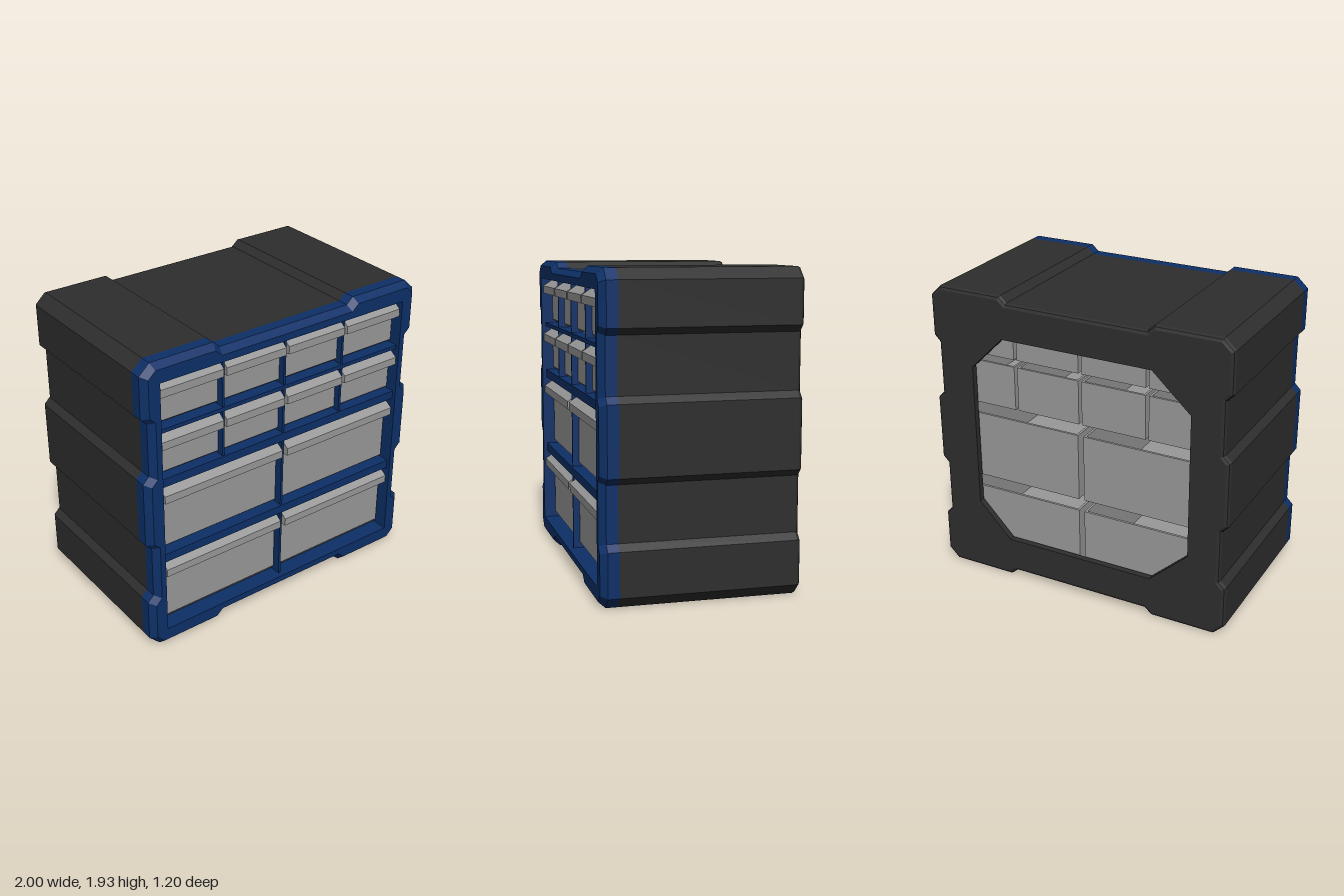
import * as THREE from 'three';

const mat = (name, color) => Object.assign(new THREE.MeshStandardMaterial({ color }), { name });

// Mirrors a right-hand half outline (running upwards) into a closed counter-clockwise loop
const mirrored = (half) => [...half, ...half.map(([x, y]) => [-x, y]).reverse()];
const rect = (x, y0, y1) => mirrored([[x, y0], [x, y1]]);

// Moves every edge of a counter-clockwise loop inwards by d
function inset(loop, d) {
  const n = loop.length;
  const normal = (a, b) => {
    const l = Math.hypot(b[0] - a[0], b[1] - a[1]);
    return [(b[1] - a[1]) / l, (a[0] - b[0]) / l];
  };
  return loop.map((p, i) => {
    const a = normal(loop[(i + n - 1) % n], p), b = normal(p, loop[(i + 1) % n]);
    const k = d / (1 + a[0] * b[0] + a[1] * b[1]);
    return [p[0] - (a[0] + b[0]) * k, p[1] - (a[1] + b[1]) * k];
  });
}

// Faceted wall through loops [points, z] ordered back to front
function wall(rings, inward = false) {
  const pos = [];
  for (let r = 0; r < rings.length - 1; r++) {
    const [A, za] = rings[r], [B, zb] = rings[r + 1];
    A.forEach((_, i) => {
      const j = (i + 1) % A.length;
      const a = [...A[i], za], b = [...A[j], za], c = [...B[j], zb], d = [...B[i], zb];
      pos.push(...(inward ? [a, c, b, a, d, c] : [a, b, c, a, c, d]).flat());
    });
  }
  const g = new THREE.BufferGeometry();
  g.setAttribute('position', new THREE.Float32BufferAttribute(pos, 3));
  g.computeVertexNormals();
  return g;
}

// Flat plate with a hole, facing the front or the back
function cap(loop, hole, z, back = false) {
  const vec = (l) => l.map(([x, y]) => new THREE.Vector2(back ? -x : x, y));
  const s = new THREE.Shape(vec(loop));
  s.holes.push(new THREE.Path(vec(hole)));
  const g = new THREE.ShapeGeometry(s);
  if (back) g.rotateY(Math.PI);
  return g.translate(0, 0, z);
}

export function createModel() {
  const model = new THREE.Group();
  model.name = 'drawerCabinet';
  const black = mat('blackPlastic', 0x2e2e2e);
  const blue = mat('bluePlastic', 0x0d3068);
  const grey = mat('greyPlastic', 0x999999);

  const add = (parent, name, geo, material) => {
    const m = new THREE.Mesh(geo, material);
    m.name = name;
    parent.add(m);
    return m;
  };
  const box = (parent, name, material, x0, x1, y0, y1, z0, z1) =>
    add(parent, name, new THREE.BoxGeometry(x1 - x0, y1 - y0, z1 - z0), material)
      .position.set((x0 + x1) / 2, (y0 + y1) / 2, (z0 + z1) / 2);

  // Notched silhouette shared by the case and the front frame
  const outline = mirrored([
    [0.465, 0.04], [0.51, 0], [0.93, 0], [1, 0.07], [1, 0.34], [0.96, 0.38], [0.96, 0.72],
    [1, 0.76], [1, 1.18], [0.96, 1.22], [0.96, 1.56], [1, 1.6], [1, 1.865], [0.93, 1.93],
    [0.51, 1.93], [0.465, 1.89],
  ]);
  const opening = rect(0.89, 0.115, 1.81);
  const cavity = rect(0.915, 0.09, 1.835);
  const backHole = [
    [0.5, 0.27], [0.72, 0.5], [0.72, 1.44], [0.5, 1.66],
    [-0.5, 1.66], [-0.75, 1.43], [-0.75, 0.5], [-0.5, 0.27],
  ];

  // Case: outer shell with a rounded back edge, and an open back panel
  const shell = new THREE.Group();
  shell.name = 'case';
  model.add(shell);
  const backEdge = inset(outline, 0.025);
  add(shell, 'outerShell', wall([
    [backEdge, -0.6], [inset(outline, 0.008), -0.592], [outline, -0.575], [outline, 0.49],
  ]), black);
  add(shell, 'backPanel', cap(backEdge, backHole, -0.6, true), black);
  add(shell, 'backPanelInside', cap(cavity, backHole, -0.56), black);
  add(shell, 'backOpeningRim', wall([[backHole, -0.6], [backHole, -0.56]], true), black);
  add(shell, 'innerWalls', wall([[cavity, -0.56], [cavity, 0.49]], true), black);

  // Front frame with a chamfered outer edge
  const frame = new THREE.Group();
  frame.name = 'frontFrame';
  model.add(frame);
  const frontEdge = inset(outline, 0.035);
  add(frame, 'frameRim', wall([[outline, 0.49], [outline, 0.56], [frontEdge, 0.6]]), blue);
  add(frame, 'frameFace', cap(frontEdge, opening, 0.6), blue);
  add(frame, 'frameBack', cap(outline, opening, 0.49, true), blue);
  add(frame, 'frameInside', wall([[opening, 0.49], [opening, 0.6]], true), blue);

  // Crossbars and dividers between the drawers
  for (const [y0, y1] of [[0.595, 0.65], [1.12, 1.175], [1.478, 1.503]])
    box(frame, 'crossbar', blue, -0.89, 0.89, y0, y1, 0.49, 0.575);
  box(frame, 'centreDivider', blue, -0.008, 0.008, 0.115, 1.81, 0.49, 0.565);
  for (const x of [-0.445, 0.445])
    box(frame, 'smallDivider', blue, x - 0.008, x + 0.008, 1.175, 1.81, 0.49, 0.565);

  // Drawer: open tray behind a front plate with an overhanging pull lip
  function drawer(name, x, y, w, h) {
    const g = new THREE.Group();
    g.name = name;
    g.position.set(x, y, 0);
    model.add(g);
    const s = w / 2, t = 0.015, back = -0.54, face = 0.525;
    const profile = new THREE.Shape([
      [face - 0.025, 0], [face - 0.012, 0], [face, 0.012], [face, h - 0.1], [0.588, h - 0.092],
      [0.588, h - 0.042], [face, h], [face - 0.025, h],
    ].map((p) => new THREE.Vector2(...p)));
    const front = new THREE.ExtrudeGeometry(profile, { depth: w, bevelEnabled: false });
    add(g, 'drawerFront', front.rotateY(-Math.PI / 2).translate(s, 0, 0), grey);
    box(g, 'drawerFloor', grey, -s, s, 0, t, back, face - 0.025);
    box(g, 'drawerBack', grey, -s, s, t, h, back, back + t);
    for (const side of [-1, 1]) {
      const c = side * (s - t / 2);
      box(g, 'drawerSide', grey, c - t / 2, c + t / 2, t, h, back + t, face - 0.025);
    }
  }

  // Two rows of large drawers below two rows of small ones
  for (const [y, h] of [[0.145, 0.44], [0.665, 0.44]])
    for (const x of [-0.446, 0.446]) drawer('largeDrawer', x, y, 0.855, h);
  for (const [y, h] of [[1.182, 0.285], [1.515, 0.285]])
    for (let i = 0; i < 4; i++) drawer('smallDrawer', (i - 1.5) * 0.446, y, 0.425, h);

  return model;
}
